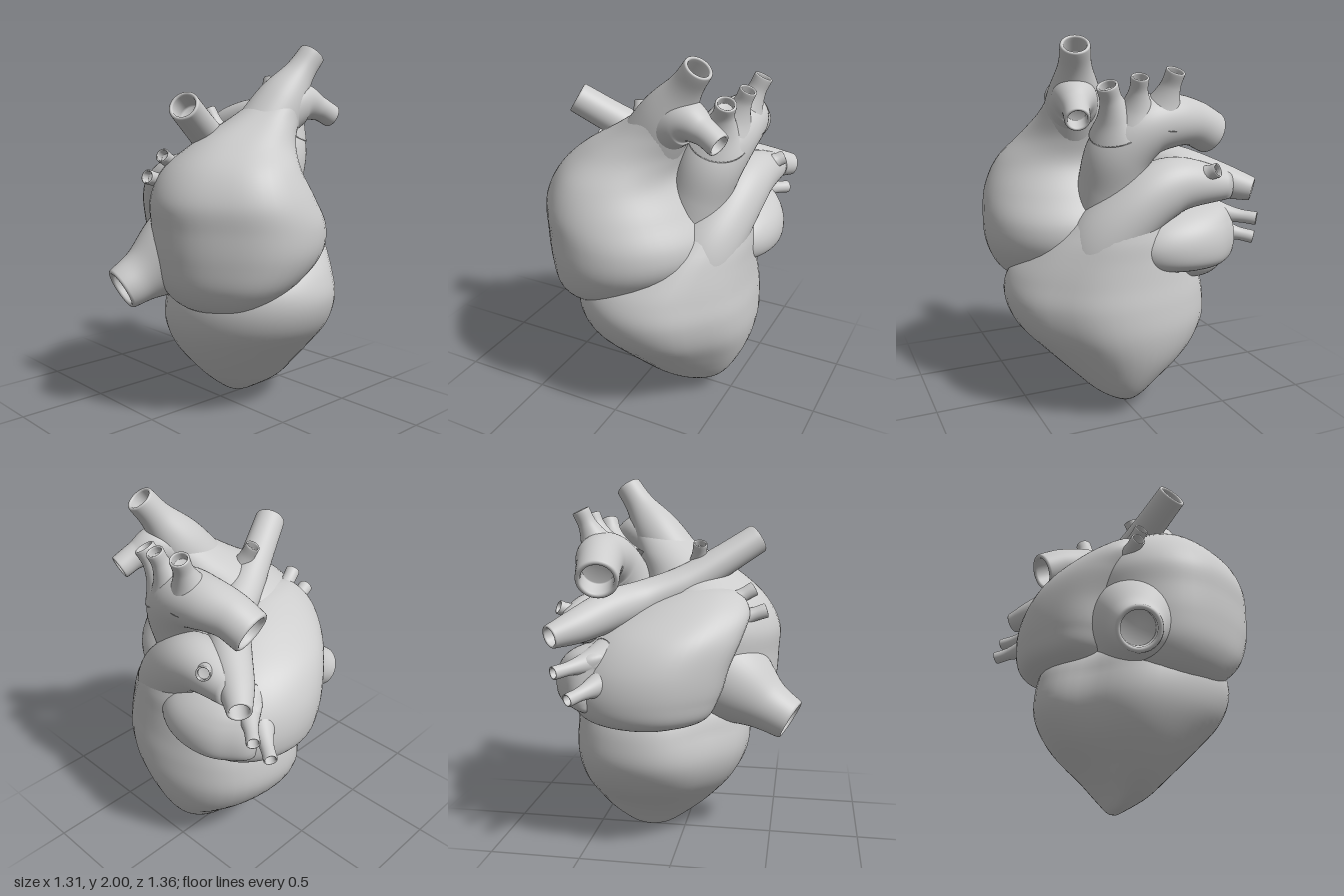
import * as THREE from 'three';

const SIDES = 48;
const V = (a) => new THREE.Vector3(...a);
const curve = (pts) => new THREE.CatmullRomCurve3(pts.map(V), false, 'catmullrom', 0.5);

// Skin a list of rings, closing the first and last with a fan
function skin(rings) {
  const pos = [], index = [], n = SIDES, m = rings.length;
  for (const ring of rings) for (const p of ring) pos.push(p.x, p.y, p.z);
  for (let i = 0; i < m - 1; i++) {
    for (let j = 0; j < n; j++) {
      const a = i * n + j, b = i * n + (j + 1) % n, c = a + n, d = b + n;
      index.push(a, b, c, b, d, c);
    }
  }
  for (const end of [0, m - 1]) {
    const mid = rings[end].reduce((s, p) => s.add(p), new THREE.Vector3()).divideScalar(n);
    const k = pos.push(mid.x, mid.y, mid.z) / 3 - 1;
    for (let j = 0; j < n; j++) {
      const a = end * n + j, b = end * n + (j + 1) % n;
      if (end === 0) index.push(k, b, a); else index.push(k, a, b);
    }
  }
  const geo = new THREE.BufferGeometry();
  geo.setAttribute('position', new THREE.Float32BufferAttribute(pos, 3));
  geo.setIndex(index);
  geo.computeVertexNormals();
  return geo;
}

// Horizontal elliptical sections: [y, centre x, radius x, centre z, radius z],
// with shape(angle, y) scaling the outline; the angle runs from +x towards -z
function chamber(keys, shape, steps = 64) {
  const mid = curve(keys.map(([y, cx, , cz]) => [cx, y, cz]));
  const rad = curve(keys.map(([, , rx, , rz]) => [rx, 0, rz]));
  const rings = [];
  for (let i = 0; i <= steps; i++) {
    const c = mid.getPoint(i / steps), r = rad.getPoint(i / steps);
    rings.push(Array.from({ length: SIDES }, (_, j) => {
      const a = j / SIDES * Math.PI * 2, k = shape(a, c.y);
      return new THREE.Vector3(c.x + r.x * k * Math.cos(a), c.y, c.z - r.z * k * Math.sin(a));
    }));
  }
  return skin(rings);
}

// Smooth bump of the outline around one angle
const bump = (a, at, width) => Math.exp(-(((a - at) / width) ** 2));

// Tapered tube; open ends get a rounded lip and a hollow bore
function vessel(points, radii, { openStart = false, openEnd = true, steps = 40 } = {}) {
  const path = curve(points), rad = curve(radii.map((r) => [r, 0, 0]));
  const frames = path.computeFrenetFrames(steps, false);
  const rAt = (i) => rad.getPoint(path.getUtoTmapping(i / steps)).x;
  const ring = (i, r, shift = 0) => {
    const c = path.getPointAt(i / steps).addScaledVector(frames.tangents[i], shift);
    return Array.from({ length: SIDES }, (_, j) => {
      const a = j / SIDES * Math.PI * 2;
      return c.clone().addScaledVector(frames.normals[i], r * Math.cos(a))
        .addScaledVector(frames.binormals[i], r * Math.sin(a));
    });
  };
  const opening = (i, dir) => {
    const r = rAt(i), w = r * 0.12, out = [];
    for (let k = 0; k <= 6; k++) {
      const a = k / 6 * Math.PI;
      out.push(ring(i, r - w + w * Math.cos(a), dir * w * Math.sin(a)));
    }
    for (let k = 1; k <= 6; k++) out.push(ring(i - dir * k, r * 0.76));
    return out;
  };
  const rings = [];
  if (openStart) rings.push(...opening(0, -1).reverse());
  for (let i = openStart ? 1 : 0; i < steps + (openEnd ? 0 : 1); i++) rings.push(ring(i, rAt(i)));
  if (openEnd) rings.push(...opening(steps, 1));
  return skin(rings);
}

// Small side vessel, flared where it leaves its parent
function branch(base, tip, r, flare = 1) {
  const at = (t) => base.map((b, i) => b + (tip[i] - b) * t);
  return vessel([base, at(0.35), at(0.7), tip], [r * 2.7 * flare, r * 1.6 * flare, r * 1.08, r * 1.03]);
}

export function createModel() {
  const heart = new THREE.Group();
  heart.name = 'heart';
  const material = new THREE.MeshStandardMaterial({ color: 0xcccccc, roughness: 0.8 });
  const add = (name, geometry) => {
    const mesh = new THREE.Mesh(geometry, material);
    mesh.name = name;
    heart.add(mesh);
  };

  // Ventricles, flattened at the back and grooved along the wall between them
  add('ventricles', chamber([
    [0, 0.2, 0.012, 0, 0.008], [0.025, 0.2, 0.11, 0.005, 0.05], [0.1, 0.2, 0.235, 0.035, 0.14],
    [0.2, 0.18, 0.335, 0.04, 0.24], [0.35, 0.15, 0.435, 0.03, 0.4], [0.5, 0.13, 0.49, 0.05, 0.515],
    [0.65, 0.125, 0.495, 0.075, 0.545], [0.78, 0.14, 0.465, 0.08, 0.51], [0.9, 0.22, 0.375, 0.08, 0.42],
    [1.02, 0.305, 0.282, 0.075, 0.31], [1.12, 0.38, 0.175, 0.07, 0.19], [1.17, 0.4, 0.04, 0.05, 0.04],
  ], (a, y) => 1 + Math.min(1, y * 4) * (0.045 * bump(a, 0.8, 0.4) - 0.045 * bump(a, 5.5, 0.3))
    - (0.03 + 0.15 * Math.min(1, y / 0.65)) * bump(a, 2.35, 0.45)));

  // Right atrium, narrowing upward into the great vein
  add('rightAtrium', chamber([
    [0.58, -0.2, 0.03, 0.2, 0.04], [0.64, -0.19, 0.2, 0.2, 0.24], [0.75, -0.14, 0.34, 0.2, 0.385],
    [0.9, -0.07, 0.445, 0.205, 0.46], [1.05, -0.06, 0.465, 0.21, 0.47], [1.2, -0.1, 0.425, 0.205, 0.45],
    [1.35, -0.1, 0.345, 0.2, 0.385], [1.48, -0.02, 0.28, 0.21, 0.27], [1.6, 0.1, 0.205, 0.23, 0.185],
    [1.72, 0.21, 0.13, 0.265, 0.115], [1.78, 0.25, 0.05, 0.28, 0.05],
  ], (a) => 1 - 0.085 * bump(a, 3.8, 0.5)));
  add('upperVein', vessel([[0.04, 1.44, 0.22], [0.2, 1.69, 0.26], [0.31, 1.85, 0.295], [0.383, 1.953, 0.32]],
    [0.18, 0.14, 0.085, 0.073]));
  add('upperVeinBranch', vessel([[0.14, 1.6, 0.25], [0.3, 1.69, 0.295], [0.42, 1.665, 0.335], [0.51, 1.62, 0.36]],
    [0.13, 0.115, 0.07, 0.062]));
  add('upperVeinStub', branch([-0.05, 1.46, 0.1], [-0.085, 1.655, 0.0], 0.038));
  add('lowerVein', vessel([[-0.06, 1.02, 0.06], [-0.3, 0.89, -0.03], [-0.47, 0.79, -0.085], [-0.59, 0.725, -0.115]],
    [0.32, 0.24, 0.148, 0.118]));

  // Left atrium, leaning from the high right veins to the low left ones
  add('leftAtrium', chamber([
    [0.7, 0.16, 0.08, -0.32, 0.07], [0.76, 0.17, 0.32, -0.31, 0.23], [0.88, 0.17, 0.4, -0.29, 0.295],
    [1.04, 0.13, 0.41, -0.27, 0.3], [1.19, 0.05, 0.39, -0.21, 0.28], [1.31, -0.05, 0.32, -0.13, 0.21],
    [1.4, -0.13, 0.18, -0.07, 0.11], [1.43, -0.16, 0.03, -0.06, 0.02],
  ], (a) => 1 - 0.05 * bump(a, 2.4, 0.4)));
  add('leftAuricle', chamber([
    [0.79, 0.42, 0.04, -0.28, 0.08], [0.82, 0.44, 0.13, -0.26, 0.23], [0.87, 0.47, 0.17, -0.24, 0.285],
    [0.96, 0.48, 0.175, -0.235, 0.3], [1.05, 0.46, 0.165, -0.26, 0.27], [1.12, 0.42, 0.13, -0.31, 0.2],
    [1.165, 0.38, 0.04, -0.34, 0.06],
  ], (a) => 1 - 0.08 * bump(a, 0.95, 0.4)));
  [
    [[0.36, 1.09, -0.38], [0.56, 1.06, -0.62], 0.034, 1.15],
    [[0.32, 0.99, -0.43], [0.48, 0.935, -0.66], 0.034, 1.15],
    [[-0.13, 1.28, -0.11], [-0.38, 1.42, -0.03], 0.038, 1.35],
    [[-0.15, 1.22, -0.14], [-0.45, 1.31, -0.07], 0.038, 1.35],
  ].forEach((b, i) => add(`lungVein${i + 1}`, branch(...b)));

  // Lung artery: trunk from the front, crossing tube behind, small stub
  add('lungArteryTrunk', vessel(
    [[0.25, 0.6, 0.19], [0.345, 0.9, 0.185], [0.43, 1.11, 0.06], [0.47, 1.255, -0.16], [0.53, 1.25, -0.46]],
    [0.22, 0.205, 0.165, 0.148, 0.075], { openEnd: false }));
  add('lungArteryCrossing', vessel(
    [[-0.38, 1.675, 0.15], [-0.2, 1.56, 0.07], [0, 1.44, -0.02], [0.2, 1.365, -0.12], [0.36, 1.32, -0.27],
      [0.49, 1.265, -0.44], [0.59, 1.23, -0.56]],
    [0.082, 0.087, 0.098, 0.105, 0.11, 0.09, 0.062], { openStart: true, steps: 72 }));
  add('lungArteryStub', branch([0.5, 1.29, -0.27], [0.61, 1.345, -0.345], 0.036));

  // Aorta arching backward, with three vessels on top
  add('aorta', vessel(
    [[0.24, 1.0, 0.12], [0.31, 1.25, 0.11], [0.37, 1.43, 0.085], [0.415, 1.55, -0.02], [0.425, 1.58, -0.17],
      [0.4, 1.56, -0.31], [0.38, 1.505, -0.425]],
    [0.17, 0.165, 0.165, 0.155, 0.136, 0.118, 0.112], { steps: 64 }));
  [
    [[0.4, 1.55, 0.1], [0.475, 1.765, 0.195], 0.052],
    [[0.44, 1.6, 0.03], [0.53, 1.805, 0.05], 0.043],
    [[0.44, 1.6, -0.1], [0.54, 1.83, -0.135], 0.047],
  ].forEach((b, i) => add(`archVessel${i + 1}`, branch(...b, 1.1)));

  return heart;
}
